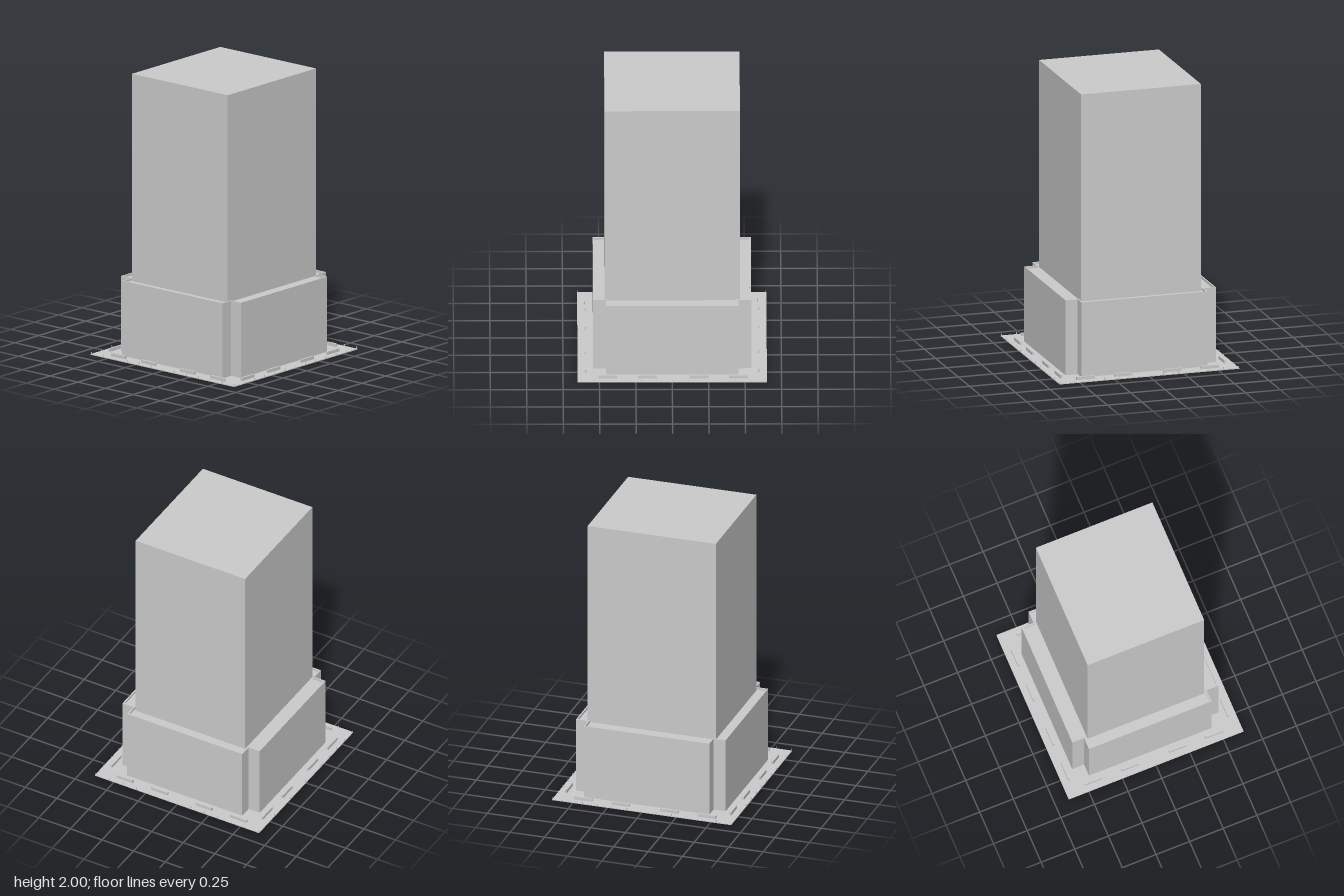
import * as THREE from 'three';

const material = new THREE.MeshStandardMaterial({ color: 0xcccccc, flatShading: true });

function addBox(parent, name, w, h, d, x, y, z) {
  const mesh = new THREE.Mesh(new THREE.BoxGeometry(w, h, d), material);
  mesh.name = name;
  mesh.position.set(x, y + h / 2, z); // y is the underside
  parent.add(mesh);
  return mesh;
}

// Square with a square notch cut from each corner
function notchedPoints(outer, notch) {
  const points = [];
  for (let i = 0; i < 4; i++) {
    const a = i * Math.PI / 2;
    for (const [x, y] of [[outer, -notch], [outer, notch], [notch, notch]]) {
      points.push(new THREE.Vector2(
        x * Math.cos(a) - y * Math.sin(a),
        x * Math.sin(a) + y * Math.cos(a)));
    }
  }
  return points;
}

function addSlab(parent, name, shape, y0, y1) {
  const geometry = new THREE.ExtrudeGeometry(shape, { depth: y1 - y0, bevelEnabled: false });
  geometry.rotateX(-Math.PI / 2);
  const mesh = new THREE.Mesh(geometry, material);
  mesh.name = name;
  mesh.position.y = y0;
  parent.add(mesh);
}

export function createModel() {
  const model = new THREE.Group();
  model.name = 'towerBlock';
  const ground = 0.006, roof = 0.525, podiumTop = 0.54;

  // Paved plot
  addBox(model, 'plotSlab', 1.3, ground, 1.3, 0, 0, 0);

  // Podium with a low parapet around its roof
  addSlab(model, 'podium', new THREE.Shape(notchedPoints(0.543, 0.455)), ground, roof);
  const parapet = new THREE.Shape(notchedPoints(0.543, 0.455));
  parapet.holes.push(new THREE.Path(notchedPoints(0.533, 0.445)));
  addSlab(model, 'parapet', parapet, roof, podiumTop);

  // Tower
  addBox(model, 'tower', 0.866, 2 - roof, 0.93, 0, roof, 0);

  // Benches and edge posts, repeated on each side of the plot
  for (let i = 0; i < 4; i++) {
    const side = new THREE.Group();
    side.name = 'plotSide' + (i + 1);
    side.rotation.y = i * Math.PI / 2;
    for (const x of [-0.443, -0.17, 0.182, 0.455]) {
      addBox(side, 'bench', 0.13, 0.022, 0.014, x, ground, 0.594);
    }
    for (let k = 0; k < 12; k++) {
      addBox(side, 'edgePost', 0.004, 0.014, 0.004, -0.645 + k * 0.1075, ground, 0.645);
    }
    model.add(side);
  }
  return model;
}
